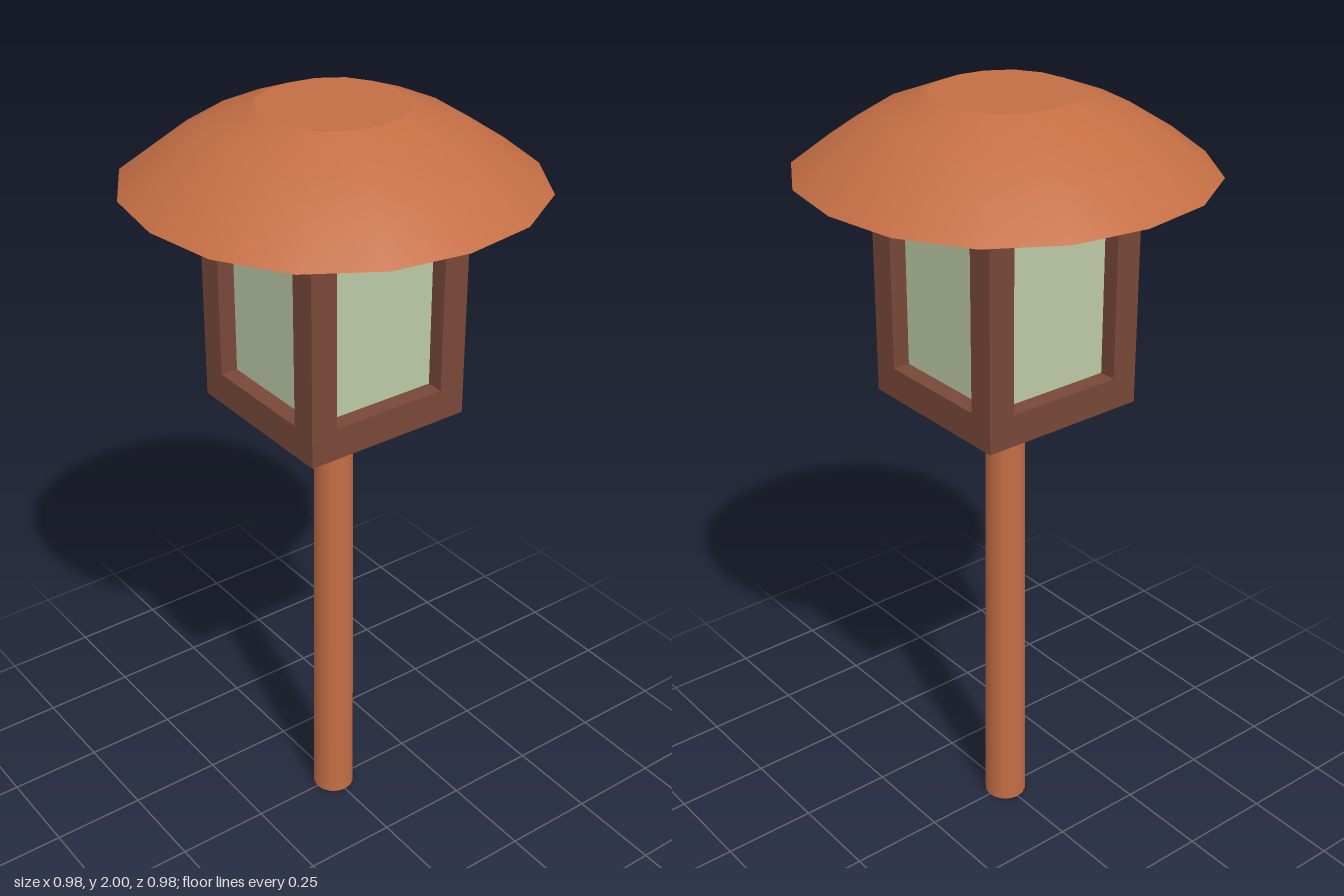
import * as THREE from 'three';

const copper = new THREE.MeshStandardMaterial({ color: 0xc46e44 });
const wood = new THREE.MeshStandardMaterial({ color: 0x784838 });
const glass = new THREE.MeshStandardMaterial({ color: 0xbccaa6 });

function add(parent, name, geometry, material, x = 0, y = 0, z = 0) {
  const mesh = new THREE.Mesh(geometry, material);
  mesh.name = name;
  mesh.position.set(x, y, z);
  parent.add(mesh);
  return mesh;
}

// 16-sided lathe, bulging slightly towards the diagonals
function roofLathe(points) {
  const geo = new THREE.LatheGeometry(points.map(p => new THREE.Vector2(...p)), 16);
  const pos = geo.attributes.position;
  for (let i = 0; i < pos.count; i++) {
    const x = pos.getX(i), z = pos.getZ(i);
    const s = 1 + 0.033 * Math.sin(2 * Math.atan2(z, x)) ** 2;
    pos.setX(i, x * s);
    pos.setZ(i, z * s);
  }
  return geo;
}

export function createModel() {
  const model = new THREE.Group();
  model.name = 'gardenLantern';

  // Slightly tapered post
  add(model, 'post', new THREE.CylinderGeometry(0.049, 0.056, 1.235, 16), copper, 0, 0.6175, 0);

  // Lantern frame: solid bottom and top, four corner posts
  const frame = new THREE.Group();
  frame.name = 'lanternFrame';
  model.add(frame);
  const half = 0.225, open = 0.155, y0 = 1.235, y1 = 1.317, y2 = 1.732, y3 = 1.815;
  add(frame, 'frameBottom', new THREE.BoxGeometry(2 * half, y1 - y0, 2 * half), wood, 0, (y0 + y1) / 2, 0);
  add(frame, 'frameTop', new THREE.BoxGeometry(2 * half, y3 - y2, 2 * half), wood, 0, (y2 + y3) / 2, 0);
  const w = half - open, c = (half + open) / 2;
  for (const sx of [-1, 1]) for (const sz of [-1, 1]) {
    add(frame, 'cornerPost', new THREE.BoxGeometry(w, y2 - y1, w), wood, sx * c, (y1 + y2) / 2, sz * c);
  }

  // Recessed glass panes
  for (let i = 0; i < 4; i++) {
    const a = i * Math.PI / 2;
    const pane = add(model, 'glassPane', new THREE.PlaneGeometry(2 * open, y2 - y1), glass,
      Math.sin(a) * 0.18, (y1 + y2) / 2, Math.cos(a) * 0.18);
    pane.rotation.y = a;
  }

  // Domed roof with flat crown and flat underside
  const roof = new THREE.Group();
  roof.name = 'roof';
  model.add(roof);
  add(roof, 'roofDome', roofLathe([[0.489, y3], [0.4, 1.885], [0.295, 1.952], [0.175, 2]]), copper);
  add(roof, 'roofCrown', roofLathe([[0.175, 2], [0, 2]]), copper);
  add(roof, 'roofUnderside', roofLathe([[0, y3], [0.489, y3]]), copper);

  return model;
}
